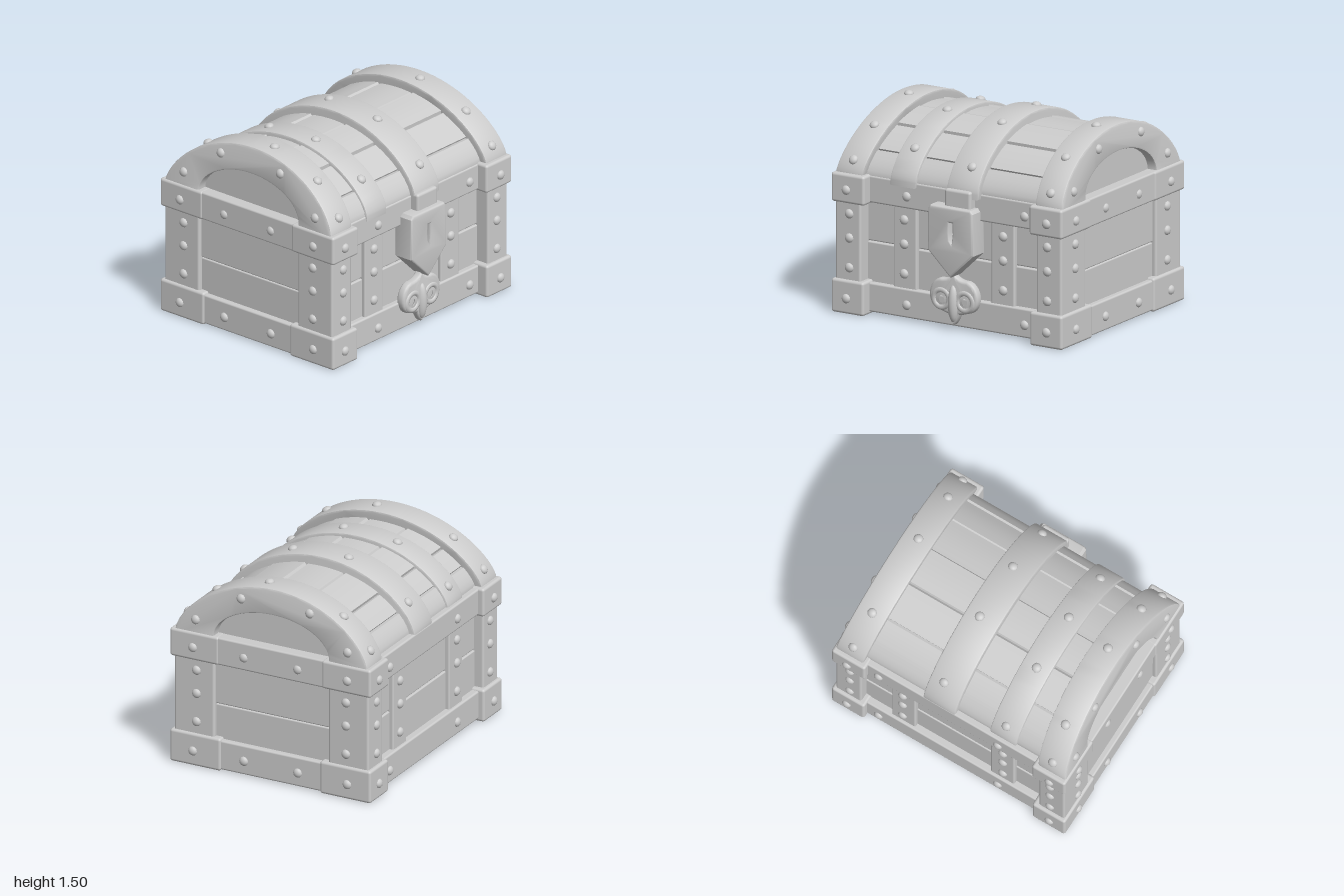
import * as THREE from 'three';
import { toCreasedNormals } from 'three/addons/utils/BufferGeometryUtils.js';
import { RoundedBoxGeometry } from 'three/addons/geometries/RoundedBoxGeometry.js';

const BASE = 1.03; // height of the lid's seam

export function createModel() {
  const chest = new THREE.Group();
  chest.name = 'chest';
  const stone = new THREE.MeshStandardMaterial({ color: 0xcccccc });
  stone.name = 'pale grey';

  const add = (name, geometry) => {
    const mesh = new THREE.Mesh(geometry, stone);
    mesh.name = name;
    chest.add(mesh);
    return mesh;
  };

  // Soft-edged block from its lower and upper limits
  const block = (name, x0, x1, y0, y1, z0, z1, r = 0.014) => {
    const g = new RoundedBoxGeometry(x1 - x0, y1 - y0, z1 - z0, 2, r);
    return add(name, g.translate((x0 + x1) / 2, (y0 + y1) / 2, (z0 + z1) / 2));
  };

  // Flattened dome stud facing along a normal
  const studGeometry = new THREE.SphereGeometry(0.036, 12, 5, 0, Math.PI * 2, 0, Math.PI / 2);
  studGeometry.scale(1, 0.72, 1);
  const up = new THREE.Vector3(0, 1, 0);
  const stud = (x, y, z, nx, ny, nz) => {
    const mesh = add('stud', studGeometry);
    mesh.position.set(x, y, z);
    mesh.quaternion.setFromUnitVectors(up, new THREE.Vector3(nx, ny, nz).normalize());
  };

  // Point on the lid curve: t runs from the front (0) to the back (PI)
  const curve = (w, h, t, p = 1.3) =>
    new THREE.Vector2(w * Math.cos(t), BASE + h * Math.pow(Math.max(0, Math.sin(t)), p));
  const arc = (w, h, p, n = 40) =>
    Array.from({ length: n + 1 }, (_, i) => curve(w, h, (i / n) * Math.PI, p));

  // Extrude a z-y shape across x0..x1, leaning sideways with height
  const across = (name, shape, x0, x1, lean, bevel) => {
    const g = new THREE.ExtrudeGeometry(shape, {
      depth: x1 - x0 - 2 * bevel, bevelEnabled: bevel > 0, bevelSize: bevel,
      bevelThickness: bevel, bevelOffset: -bevel, bevelSegments: 2,
    });
    g.rotateY(-Math.PI / 2).translate(x1 - bevel, 0, 0);
    const pos = g.attributes.position;
    for (let i = 0; i < pos.count; i++) {
      pos.setX(i, pos.getX(i) + (lean * (pos.getY(i) - BASE)) / 0.45);
    }
    g.computeVertexNormals();
    return add(name, toCreasedNormals(g, 0.6));
  };

  const archShape = (w, h) => new THREE.Shape([
    new THREE.Vector2(w, BASE - 0.04), ...arc(w, h, 1.3), new THREE.Vector2(-w, BASE - 0.04)]);

  // Stud on a lid strap of the given size
  const lidStud = (x, w, h, t) => {
    const a = curve(w, h, t), b = curve(w, h, t + 0.02);
    stud(x, a.y, a.x, 0, -(b.x - a.x), b.y - a.y);
  };

  // Body core and planks
  block('bodyCore', -0.9, 0.9, 0.05, 1.03, -0.69, 0.66);
  for (const [y0, y1, out] of [[0.2, 0.527, 0.006], [0.533, 0.86, 0]]) {
    block('frontBackPlank', -0.88, 0.88, y0, y1, -0.715 - out, 0.685 + out, 0.01);
  }
  for (const [y0, y1, out] of [[0.2, 0.497, 0], [0.503, 0.86, 0.006]]) {
    block('sidePlank', -0.925 - out, 0.925 + out, y0, y1, -0.6, 0.6, 0.01);
  }
  for (const [z0, z1] of [[-0.72, -0.265], [-0.26, 0.215], [0.22, 0.69]]) {
    block('floorPlank', -0.92, 0.92, 0.035, 0.1, z0, z1, 0.008);
  }

  // Horizontal bands around the base and the rim
  for (const [y0, y1] of [[0.02, 0.235], [0.83, 1.03]]) {
    block('frontBand', -0.95, 0.95, y0, y1, 0.6, 0.735);
    block('backBand', -0.95, 0.95, y0, y1, -0.775, -0.64);
    for (const s of [-1, 1]) {
      const x = s * 0.905;
      block('sideBand', x - 0.062, x + 0.062, y0 - 0.01, y1, -0.77, 0.73);
    }
  }
  block('rimTop', -0.9, 0.9, 0.9, 1.025, -0.7, 0.68);

  // Corner blocks, posts and straps, mirrored left and right, front and back
  for (const s of [-1, 1]) {
    const span = (a, b) => (s > 0 ? [a, b] : [-b, -a]);
    for (const f of [-1, 1]) {
      const deep = (a, b) => (f > 0 ? [a, b] : [-b, -a]);
      block('lowerCorner', ...span(0.705, 0.98), 0, 0.25, ...deep(0.405, 0.82), 0.02);
      block('upperCorner', ...span(0.7, 0.98), 0.82, 1.037, ...deep(0.42, 0.82), 0.02);
      block('cornerPost', ...span(0.745, 0.96), 0.2, 0.86, ...deep(0.465, 0.793), 0.018);
      const zs = f > 0 ? 0.72 : -0.752;
      block('strap', ...span(0.315, 0.515), 0.2, 0.86, Math.min(zs, f * 0.6), Math.max(zs, f * 0.6));
      const band = f > 0 ? 0.733 : -0.773;
      for (const y of [0.34, 0.56, 0.74]) {
        stud(s * 0.84, y, f * 0.791, 0, 0, f);
        stud(s * 0.42, y, zs, 0, 0, f);
        stud(s * 0.958, y, f * 0.61, s, 0, 0);
      }
      for (const y of [0.115, 0.92]) {
        stud(s * 0.85, y, f * 0.818, 0, 0, f);
        stud(s * (s < 0 ? 0.39 : 0.61), y, band, 0, 0, f);
        stud(s * 0.977, y, f * 0.63, s, 0, 0);
        stud(s * 0.965, y, f * 0.22, s, 0, 0);
      }
    }
    block('sideRim', ...span(0.85, 0.973), 0.823, 1.035, -0.8, 0.8);

    // End arch of the lid with its open half-moon
    const shape = archShape(0.785, 0.452);
    shape.holes.push(new THREE.Path(arc(0.47, 0.255, 1).reverse()));
    const lean = s > 0 ? -0.04 : 0.07;
    across('endArch', shape, ...span(0.735, 0.965), lean, 0.014);
    for (const t of [0.32, 0.85, 1.45, 2.29, 2.82]) {
      const drift = lean * Math.pow(Math.sin(t), 1.3);
      lidStud(s * 0.85 + drift, 0.785, 0.452, t);
    }
    for (const [y, z] of [[1.13, 0.62], [1.36, 0.26], [1.36, -0.3], [1.13, -0.62]]) {
      stud(s * 0.962 + (lean * (y - BASE)) / 0.45, y, z, s, 0.08, 0);
    }
  }

  // Lid planks: flat facets with shallow grooves between them
  const cuts = [0, 0.55, 1.0, 1.42, 1.85, 2.3, 2.65, Math.PI];
  const profile = [new THREE.Vector2(0.725, BASE - 0.04)];
  for (let i = 0; i < cuts.length - 1; i++) {
    const raise = i % 2 ? 0 : 0.008;
    for (let k = 0; k <= 4; k++) {
      const t = cuts[i] + 0.018 + ((cuts[i + 1] - cuts[i] - 0.036) * k) / 4;
      profile.push(curve(0.72 + raise, 0.38 + raise, t));
    }
    if (i < cuts.length - 2) profile.push(curve(0.705, 0.365, cuts[i + 1]));
  }
  profile.push(new THREE.Vector2(-0.725, BASE - 0.04));
  across('lidPlanks', new THREE.Shape(profile), -0.885, 0.885, 0, 0);

  // Lid straps
  across('narrowLidStrap', archShape(0.745, 0.412), -0.525, -0.305, 0.01, 0.012);
  across('wideLidStrap', archShape(0.772, 0.452), -0.03, 0.24, 0, 0.014);
  for (const t of [0.5, 1.2, 1.8, 2.6]) {
    lidStud(0.13, 0.772, 0.452, t);
    lidStud(-0.41, 0.745, 0.412, t + 0.15);
  }

  // Front-facing bevelled cut-out
  const plaque = (name, shape, z0, z1, bevel) => {
    const g = new THREE.ExtrudeGeometry(shape, {
      depth: z1 - z0 - 2 * bevel, bevelSize: bevel, bevelThickness: bevel,
      bevelOffset: -bevel, bevelSegments: 3, curveSegments: 10,
    });
    return add(name, toCreasedNormals(g.translate(0, 0, z0 + bevel), 0.6));
  };
  const points = (list) => list.map(([x, y]) => new THREE.Vector2(x, y));

  // Hasp and pointed lock plate with a keyhole
  block('hasp', -0.03, 0.19, 0.88, 1.05, 0.68, 0.8, 0.02);
  const plate = new THREE.Shape(points([
    [0.045, 0.405], [0.24, 0.59], [0.235, 0.9], [0.215, 0.925], [-0.125, 0.925], [-0.145, 0.9], [-0.148, 0.59]]));
  plate.holes.push(new THREE.Path(points([
    [0.035, 0.81], [0.06, 0.81], [0.063, 0.73], [0.055, 0.655], [0.04, 0.68], [0.033, 0.74]])));
  plaque('lockPlate', plate, 0.68, 0.842, 0.016);

  // Beaked mask with two eye holes beneath the lock
  const mask = new THREE.Shape();
  mask.moveTo(0.035, 0.42);
  mask.quadraticCurveTo(0.07, 0.37, 0.15, 0.375);
  mask.bezierCurveTo(0.25, 0.35, 0.27, 0.2, 0.19, 0.15);
  mask.quadraticCurveTo(0.1, 0.12, 0.085, 0.12);
  mask.quadraticCurveTo(0.06, 0.06, 0.035, 0.04);
  mask.quadraticCurveTo(0.01, 0.06, -0.015, 0.12);
  mask.quadraticCurveTo(-0.03, 0.12, -0.12, 0.15);
  mask.bezierCurveTo(-0.2, 0.2, -0.18, 0.35, -0.08, 0.375);
  mask.quadraticCurveTo(0, 0.37, 0.035, 0.42);
  for (const s of [-1, 1]) {
    const eye = new THREE.Path();
    eye.absellipse(0.035 + s * 0.098, 0.222, 0.042, 0.048, 0, Math.PI * 2, true);
    mask.holes.push(eye);
  }
  plaque('mask', mask, 0.715, 0.785, 0.02);
  for (const s of [-1, 1]) {
    const ring = add('eyeRim', new THREE.TorusGeometry(0.065, 0.024, 8, 24));
    ring.position.set(0.035 + s * 0.1, 0.225, 0.772);
  }
  const beak = add('beak', new THREE.SphereGeometry(1, 16, 12));
  beak.scale.set(0.042, 0.14, 0.045);
  beak.position.set(0.035, 0.2, 0.775);

  return chest;
}
